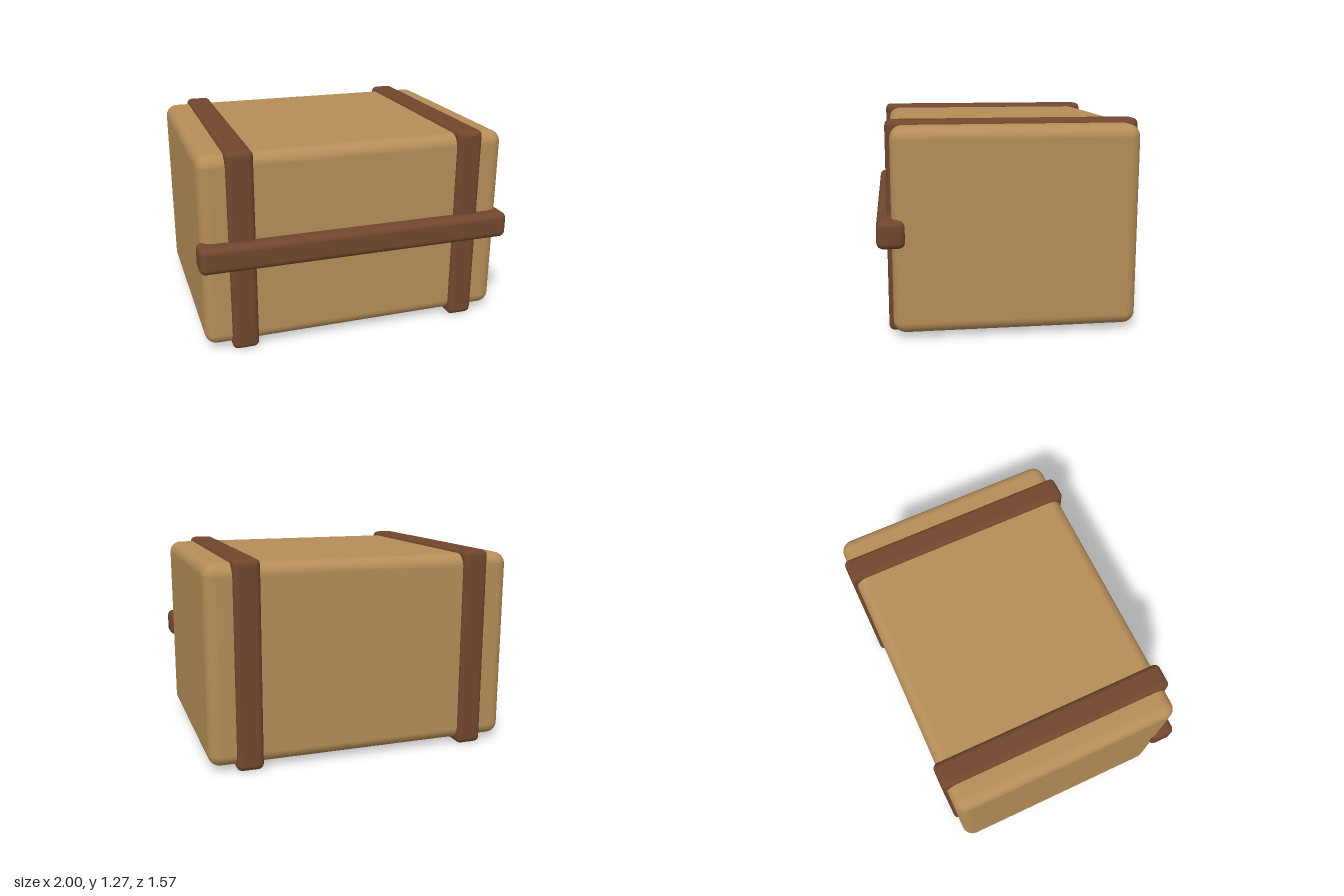
import * as THREE from 'three';
import { RoundedBoxGeometry } from 'three/addons/geometries/RoundedBoxGeometry.js';

export function createModel() {
  const group = new THREE.Group();
  const canvas = new THREE.MeshStandardMaterial({ color: 0xb58d58 });
  const leather = new THREE.MeshStandardMaterial({ color: 0x71462d });

  // Rounded block given by its [min, max] extent along each axis
  function block(name, x, y, z, radius, material) {
    const size = [x, y, z].map(([a, b]) => b - a);
    const mid = [x, y, z].map(([a, b]) => (a + b) / 2);
    const mesh = new THREE.Mesh(new RoundedBoxGeometry(...size, 5, radius), material);
    mesh.position.set(...mid);
    mesh.name = name;
    group.add(mesh);
  }

  // Main soft-edged pack body
  block('body', [-0.975, 0.975], [0.03, 1.245], [-0.762, 0.698], 0.075, canvas);

  // Two straps wrapping around the body
  for (const [name, side] of [['leftStrap', 1], ['rightStrap', -1]]) {
    const x = side * 0.731;
    block(name, [x - 0.083, x + 0.083], [0, 1.27], [-0.785, 0.725], 0.035, leather);
  }

  // Horizontal bar across the front
  block('frontBar', [-1, 1], [0.552, 0.72], [0.62, 0.785], 0.04, leather);

  return group;
}
